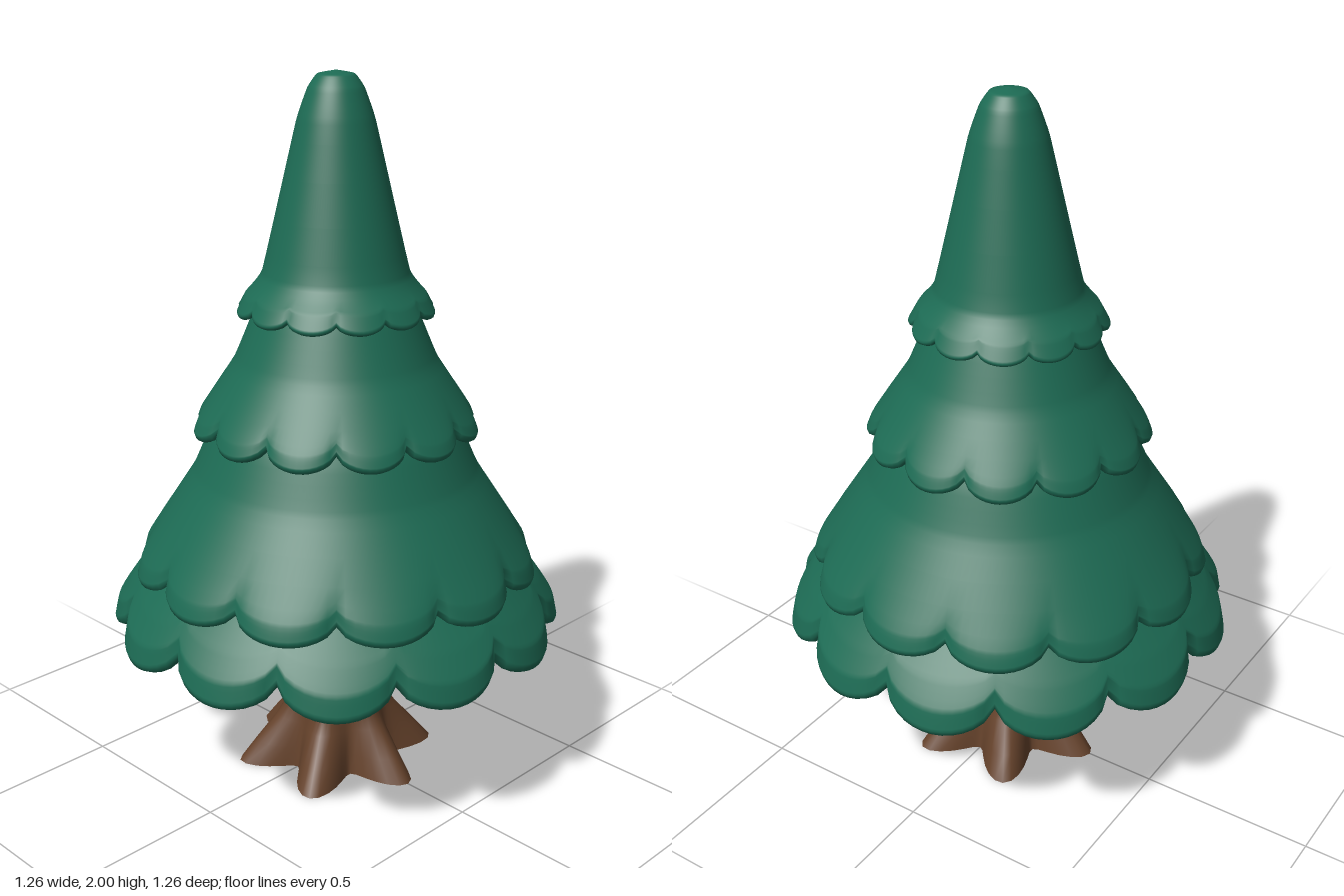
import * as THREE from 'three';

const green = new THREE.MeshStandardMaterial({ color: 0x1d6b54 });
green.name = 'needle green';
const brown = new THREE.MeshStandardMaterial({ color: 0x65422b, side: THREE.DoubleSide });
brown.name = 'bark brown';

// Ring-shaped skin through rows (listed so that the surface faces outward going down);
// point(row, angle) returns [radius, height].
function skin(rows, segments, point) {
  const positions = [], index = [];
  rows.forEach((row, i) => {
    for (let j = 0; j < segments; j++) {
      const angle = (j / segments) * Math.PI * 2;
      const [r, y] = point(row, angle);
      positions.push(r * Math.sin(angle), y, r * Math.cos(angle));
      if (i === rows.length - 1) continue;
      const k = (j + 1) % segments;
      const a = i * segments + j, b = i * segments + k;
      const c = a + segments, d = b + segments;
      index.push(a, c, b, b, c, d);
    }
  });
  const geometry = new THREE.BufferGeometry();
  geometry.setAttribute('position', new THREE.Float32BufferAttribute(positions, 3));
  geometry.setIndex(index);
  geometry.computeVertexNormals();
  return geometry;
}

// Outline points run down to the rim; lip is the rim thickness, inner the end of the underside
const vec = (r, y) => new THREE.Vector3(r, y, 0);
const tiers = [
  { name: 'bottomBranches', shift: 0.5, notch: 0.05, lift: 0.07, lip: 0.016, skirt: 0.24,
    outline: [vec(0.36, 0.88), vec(0.51, 0.67), vec(0.585, 0.58), vec(0.63, 0.515), vec(0.643, 0.458)],
    inner: vec(0.1, 0.86) },
  { name: 'lowerBranches', shift: 0, notch: 0.045, lift: 0.045, lip: 0.015, skirt: 0.15,
    outline: [vec(0.27, 1.18), vec(0.35, 1.03), vec(0.405, 0.905), vec(0.555, 0.675), vec(0.572, 0.626)],
    inner: vec(0.42, 0.7) },
  { name: 'middleBranches', shift: 0, notch: 0.035, lift: 0.04, lip: 0.013, skirt: 0.11,
    outline: [vec(0.17, 1.48), vec(0.225, 1.36), vec(0.282, 1.225), vec(0.385, 1.07), vec(0.4, 1.035)],
    inner: vec(0.28, 1.1) },
  { name: 'topBranches', shift: 0, notch: 0.016, lift: 0.022, lip: 0.009, skirt: 0.08,
    outline: [vec(0, 2), vec(0.05, 1.99), vec(0.075, 1.955), vec(0.105, 1.87),
      vec(0.2, 1.472), vec(0.25, 1.405), vec(0.273, 1.364)],
    inner: vec(0.18, 1.4) },
];

// Rows of radius r, height y and scallop weight w: down the outside, round the lip, up the inside
function tierRows({ outline, lip, skirt, inner }) {
  const rim = outline[outline.length - 1];
  const curve = new THREE.CatmullRomCurve3(outline, false, 'catmullrom', 0.15);
  const rows = curve.getPoints((outline.length - 1) * 5).map(({ x, y }) => (
    { r: x, y, w: 1 - THREE.MathUtils.smoothstep(y, rim.y, rim.y + skirt) }));
  for (let i = 1; i <= 4; i++) {
    const a = (i / 4) * Math.PI;
    rows.push({ r: rim.x - lip + lip * Math.cos(a), y: rim.y - 1.2 * lip * Math.sin(a), w: 1 });
  }
  const edge = vec(rim.x - 2 * lip, rim.y);
  for (let i = 1; i <= 5; i++) {
    const t = i / 5;
    const p = edge.clone().lerp(inner, t);
    rows.push({ r: p.x, y: p.y, w: 1 - t * t });
  }
  return rows;
}

// Twelve round lobes: 1 at a lobe's middle, 0 in the notch between two lobes
function lobe(angle, shift) {
  const t = (angle / (Math.PI * 2)) * 12 + shift;
  const a = 2 * (t - Math.round(t));
  return Math.pow(Math.max(0, 1 - a * a), 0.7);
}

// Six pointed roots, two of them pointing sideways
function root(angle) {
  const t = (angle / (Math.PI * 2)) * 6 + 0.5;
  const a = 2 * Math.abs(t - Math.round(t));
  return 1 - THREE.MathUtils.smoothstep(a, 0, 1);
}

// Rows of plain radius, height and root reach
const trunkRows = [
  [0.1, 0.95, 0.008], [0.116, 0.45, 0.01], [0.127, 0.2, 0.014],
  [0.142, 0.135, 0.04], [0.152, 0.06, 0.094], [0.16, 0, 0.135],
];

export function createModel() {
  const tree = new THREE.Group();
  tree.name = 'tree';
  const add = (name, geometry, material) => {
    const mesh = new THREE.Mesh(geometry, material);
    mesh.name = name;
    tree.add(mesh);
  };

  for (const tier of tiers) {
    add(tier.name, skin(tierRows(tier), 144, ({ r, y, w }, angle) => {
      const cut = w * (1 - lobe(angle, tier.shift));
      return [r - tier.notch * cut, y + tier.lift * cut];
    }), green);
  }

  // Hollow trunk, open at the foot
  add('trunk', skin(trunkRows, 72, ([r, y, reach], angle) => [r + reach * root(angle), y]), brown);
  return tree;
}
